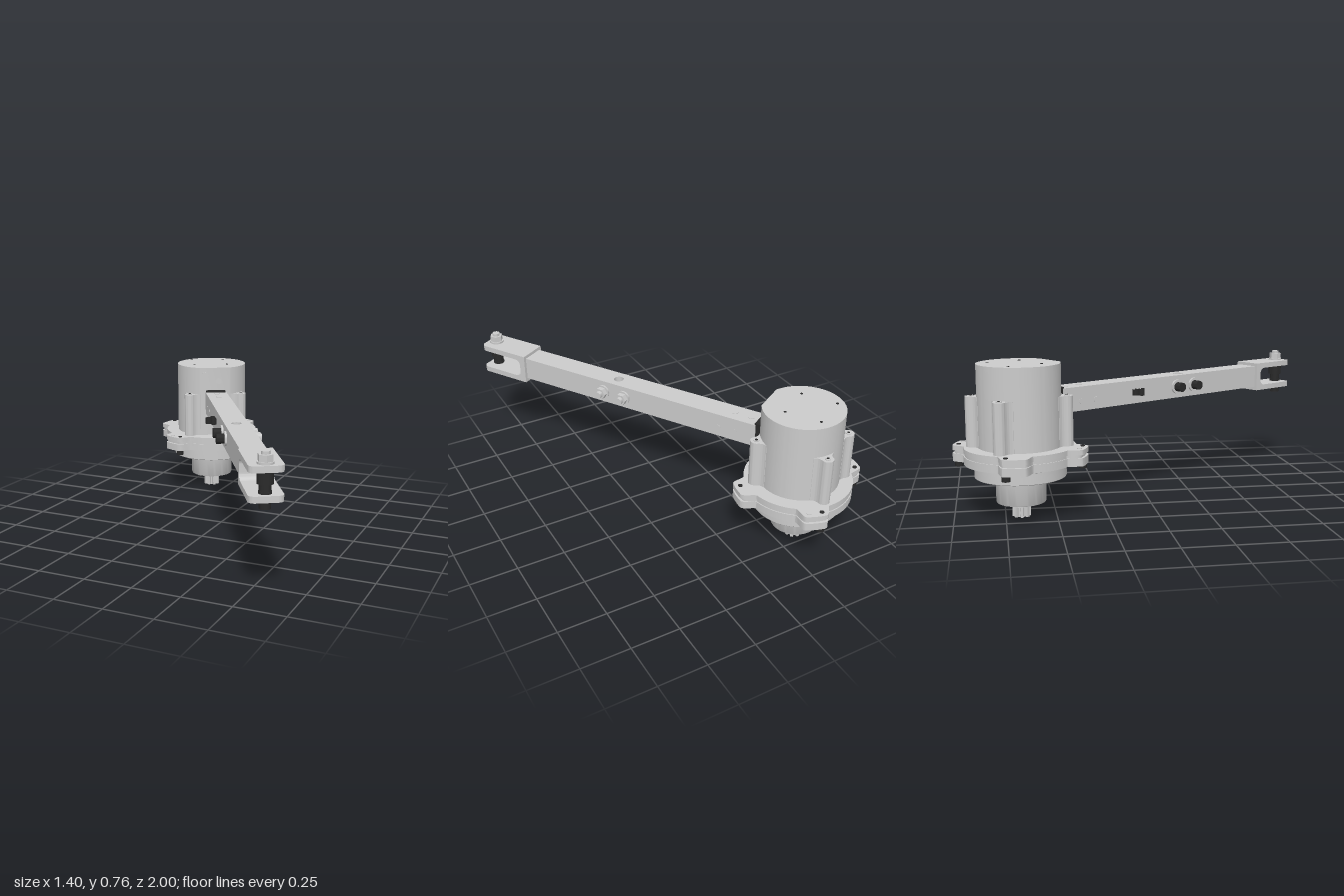
import * as THREE from 'three';
import { toCreasedNormals } from 'three/addons/utils/BufferGeometryUtils.js';

const RAD = Math.PI / 180;
const grey = new THREE.MeshStandardMaterial({ color: 0xcccccc });
const dark = new THREE.MeshStandardMaterial({ color: 0x2a2a2a });
const darkThin = new THREE.MeshStandardMaterial({ color: 0x2a2a2a, side: THREE.DoubleSide });

function add(parent, name, geo, mat = grey, x = 0, y = 0, z = 0) {
  const mesh = new THREE.Mesh(toCreasedNormals(geo, 0.55), mat);
  mesh.name = name;
  mesh.position.set(x, y, z);
  parent.add(mesh);
  return mesh;
}

// Vertical extrusion from y0 to y1; shape coordinates are (x, -z)
function slab(shape, y0, y1) {
  return new THREE.ExtrudeGeometry(shape, { depth: y1 - y0, bevelEnabled: false, curveSegments: 24 })
    .rotateX(-Math.PI / 2).translate(0, y0, 0);
}

const post = (r, y0, y1, sides = 24) =>
  new THREE.CylinderGeometry(r, r, y1 - y0, sides).translate(0, (y0 + y1) / 2, 0);

// Sideways cylinder running from x0 to x1
const pin = (r, x0, x1, sides = 24) =>
  new THREE.CylinderGeometry(r, r, x1 - x0, sides).rotateZ(Math.PI / 2).translate((x0 + x1) / 2, 0, 0);

const polar = (r, deg) => [r * Math.cos(deg * RAD), r * Math.sin(deg * RAD)];

// Round plate with four raised lobes
function lobedShape(base, tip) {
  const lobes = [10, 110, 187, 290];
  const pts = [];
  for (let a = 0; a < 360; a += 1.5) {
    const off = Math.min(...lobes.map((l) => Math.abs(((a - l + 540) % 360) - 180)));
    const t = 1 - THREE.MathUtils.smoothstep(off, 8.5, 18);
    const [x, z] = polar(base + (tip - base) * t, a);
    pts.push(new THREE.Vector2(x, -z));
  }
  return new THREE.Shape(pts);
}

function buildMotor(motor, turn) {
  // Can with a flat facing the arm
  const R = 0.204, flat = 0.185, half = Math.acos(flat / R);
  const canShape = new THREE.Shape();
  canShape.absarc(0, 0, R, -Math.PI / 2 + half, Math.PI * 1.5 - half, false);
  canShape.closePath();
  add(motor, 'motorCan', new THREE.ExtrudeGeometry(canShape, { depth: 0.405, bevelEnabled: false, curveSegments: 64 })
    .rotateX(-Math.PI / 2).translate(0, 0.355, 0)).rotation.y = turn;
  for (const [x, z] of [[0.01, -0.148], [-0.159, -0.051], [0.106, 0.008], [-0.063, 0.109]]) {
    add(motor, 'topHole', post(0.007, 0.755, 0.762, 12), dark, x, 0, z);
  }

  // Screw bosses up the side of the can
  for (const a of [16.5, 99.4, 205.5, 274]) {
    const s = new THREE.Shape();
    s.moveTo(0.17, -0.065);
    s.lineTo(0.198, -0.055);
    s.quadraticCurveTo(0.208, -0.034, 0.231, -0.03);
    s.absarc(0.231, 0, 0.03, -Math.PI / 2, Math.PI / 2, false);
    s.quadraticCurveTo(0.208, 0.034, 0.198, 0.055);
    s.lineTo(0.17, 0.065);
    s.closePath();
    add(motor, 'screwBoss', slab(s, 0.355, 0.602)).rotation.y = -a * RAD;
    const [x, z] = polar(0.231, a);
    add(motor, 'bossScrew', post(0.014, 0.59, 0.606), grey, x, 0, z);
    add(motor, 'bossScrewSocket', post(0.007, 0.6, 0.608, 6), dark, x, 0, z);
  }

  // Split lobed flange
  add(motor, 'upperFlange', slab(lobedShape(0.273, 0.335), 0.33, 0.355));
  add(motor, 'flangeGasket', slab(lobedShape(0.268, 0.322), 0.315, 0.33));
  add(motor, 'lowerFlange', slab(lobedShape(0.273, 0.335), 0.275, 0.315));
  for (const a of [13.2, 103, 194.6, 284]) {
    const [x, z] = polar(0.307, a);
    add(motor, 'flangeScrew', post(0.02, 0.248, 0.28), dark, x, 0, z);
    add(motor, 'flangeScrewEnd', post(0.011, 0.34, 0.359), dark, x, 0, z);
  }
  for (const a of [114.8, 296]) {
    const [x, z] = polar(0.306, a);
    add(motor, 'dowel', post(0.012, 0.345, 0.358), grey, x, 0, z);
  }

  // Turned gear housing and nose
  const profile = [[0, 0.08], [0.075, 0.08], [0.08, 0.075], [0.12, 0.075], [0.123, 0.08], [0.123, 0.183],
    [0.127, 0.197], [0.138, 0.205], [0.222, 0.205], [0.225, 0.208], [0.225, 0.262], [0.235, 0.272], [0.25, 0.28], [0, 0.28]];
  add(motor, 'gearHousing', new THREE.LatheGeometry(profile.map((p) => new THREE.Vector2(...p)), 64));
  add(motor, 'shaftSeal', post(0.06, 0.058, 0.068, 32), dark);
  add(motor, 'shaftCollar', post(0.05, 0.052, 0.09, 32));

  // Toothed pinion
  const teeth = [];
  for (let i = 0; i < 8; i++) {
    for (const [r, d] of [[0.032, -16], [0.046, -9], [0.046, 9], [0.032, 16]]) {
      teeth.push(new THREE.Vector2(...polar(r, i * 45 + d)));
    }
  }
  add(motor, 'pinion', slab(new THREE.Shape(teeth), 0, 0.06));
}

// Arm runs along local +z from the motor axis
function buildArm(arm) {
  const w = 0.0615, y0 = 0.497, y1 = 0.62, mid = 0.5585;

  // Square bar with one vertical through hole
  const bar = new THREE.Shape();
  bar.moveTo(-w, -0.222);
  bar.lineTo(-w, -1.64);
  bar.lineTo(w, -1.64);
  bar.lineTo(w, -0.222);
  bar.closePath();
  const hole = new THREE.Path();
  hole.absarc(0, -1.054, 0.026, 0, Math.PI * 2, true);
  bar.holes.push(hole);
  add(arm, 'armBar', slab(bar, y0, y1));
  add(arm, 'mountPad', new THREE.BoxGeometry(0.112, 0.131, 0.05), dark, 0, 0.561, 0.203);
  for (const z of [0.27, 0.363]) add(arm, 'topPlug', post(0.017, y0 - 0.002, y1 + 0.002), grey, 0, 0, z);
  for (const z of [0.334, 0.427]) add(arm, 'sidePlug', pin(0.016, -w - 0.002, w + 0.002), grey, 0, 0.545, z);
  for (const [x, y] of [[-0.059, 0.717], [0.021, 0.68]]) {
    add(arm, 'canPlug', new THREE.CylinderGeometry(0.018, 0.018, 0.006, 24).rotateX(Math.PI / 2), grey, x, y, 0.184);
  }

  // Two cross bolts with washers and nuts
  for (const z of [0.988, 1.116]) {
    add(arm, 'washerLeft', pin(0.038, w, w + 0.01), grey, 0, mid, z);
    add(arm, 'washerRight', pin(0.038, -w - 0.01, -w), grey, 0, mid, z);
    add(arm, 'boltHead', pin(0.025, -w - 0.05, -w - 0.008), dark, 0, mid, z);
    add(arm, 'boltNut', pin(0.032, w + 0.008, w + 0.036, 6), grey, 0, mid, z);
    add(arm, 'boltEnd', pin(0.019, w + 0.03, w + 0.056), grey, 0, mid, z);
  }

  // Small looped wire clip beside the bar
  for (const [x, z] of [[-0.075, 0.68], [-0.075, 0.722], [-0.1, 0.7]]) {
    add(arm, 'clipLoop', new THREE.CylinderGeometry(0.016, 0.016, 0.032, 16, 1, true), darkThin, x, mid, z);
  }

  // Fork: filleted root block and two rounded plates
  const f = 0.078, b = 0.477, t = 0.637, p = 0.03, r = 0.03, start = 1.627, floor = 1.66, join = 1.7, end = 1.925;
  const root = new THREE.Shape();
  root.moveTo(start, b);
  root.lineTo(join, b);
  root.lineTo(join, b + p);
  root.lineTo(floor + r, b + p);
  root.absarc(floor + r, b + p + r, r, -Math.PI / 2, -Math.PI, true);
  root.lineTo(floor, t - p - r);
  root.absarc(floor + r, t - p - r, r, Math.PI, Math.PI / 2, true);
  root.lineTo(join, t - p);
  root.lineTo(join, t);
  root.lineTo(start, t);
  root.closePath();
  add(arm, 'forkRoot', new THREE.ExtrudeGeometry(root, { depth: 2 * f, bevelEnabled: false })
    .rotateY(-Math.PI / 2).translate(f, 0, 0));
  const c = 0.03;
  const plate = new THREE.Shape();
  plate.moveTo(f, -join);
  plate.lineTo(-f, -join);
  plate.lineTo(-f, -end + c);
  plate.absarc(-f + c, -end + c, c, Math.PI, Math.PI * 1.5, false);
  plate.lineTo(f - c, -end);
  plate.absarc(f - c, -end + c, c, -Math.PI / 2, 0, false);
  plate.closePath();
  add(arm, 'forkPlateUpper', slab(plate, t - p, t));
  add(arm, 'forkPlateLower', slab(plate, b, b + p));

  // Fork bolt with spacers and nut
  const parts = [
    ['forkBoltHead', 0.026, 0.44, b, 24, dark], ['forkBoltShank', 0.022, b, 0.64, 24, dark],
    ['forkCollar', 0.03, 0.507, 0.518, 24, dark], ['forkBush', 0.027, 0.518, 0.55, 24, dark],
    ['forkSpacer', 0.037, 0.55, 0.607, 24, dark], ['forkWasher', 0.038, 0.637, 0.647, 24, grey],
    ['forkNut', 0.035, 0.647, 0.678, 6, grey], ['forkBoltEnd', 0.02, 0.67, 0.692, 24, grey],
  ];
  for (const [name, rad, a, d, n, mat] of parts) add(arm, name, post(rad, a, d, n), mat, 0, 0, 1.878);
}

export function createModel() {
  const model = new THREE.Group();
  model.name = 'motorArm';
  const turn = 31.5 * RAD;
  const motor = new THREE.Group();
  motor.name = 'motor';
  const arm = new THREE.Group();
  arm.name = 'arm';
  for (const g of [motor, arm]) {
    g.position.set(-0.365, 0, -0.672);
    model.add(g);
  }
  arm.rotation.y = turn;
  buildMotor(motor, turn);
  buildArm(arm);
  return model;
}
